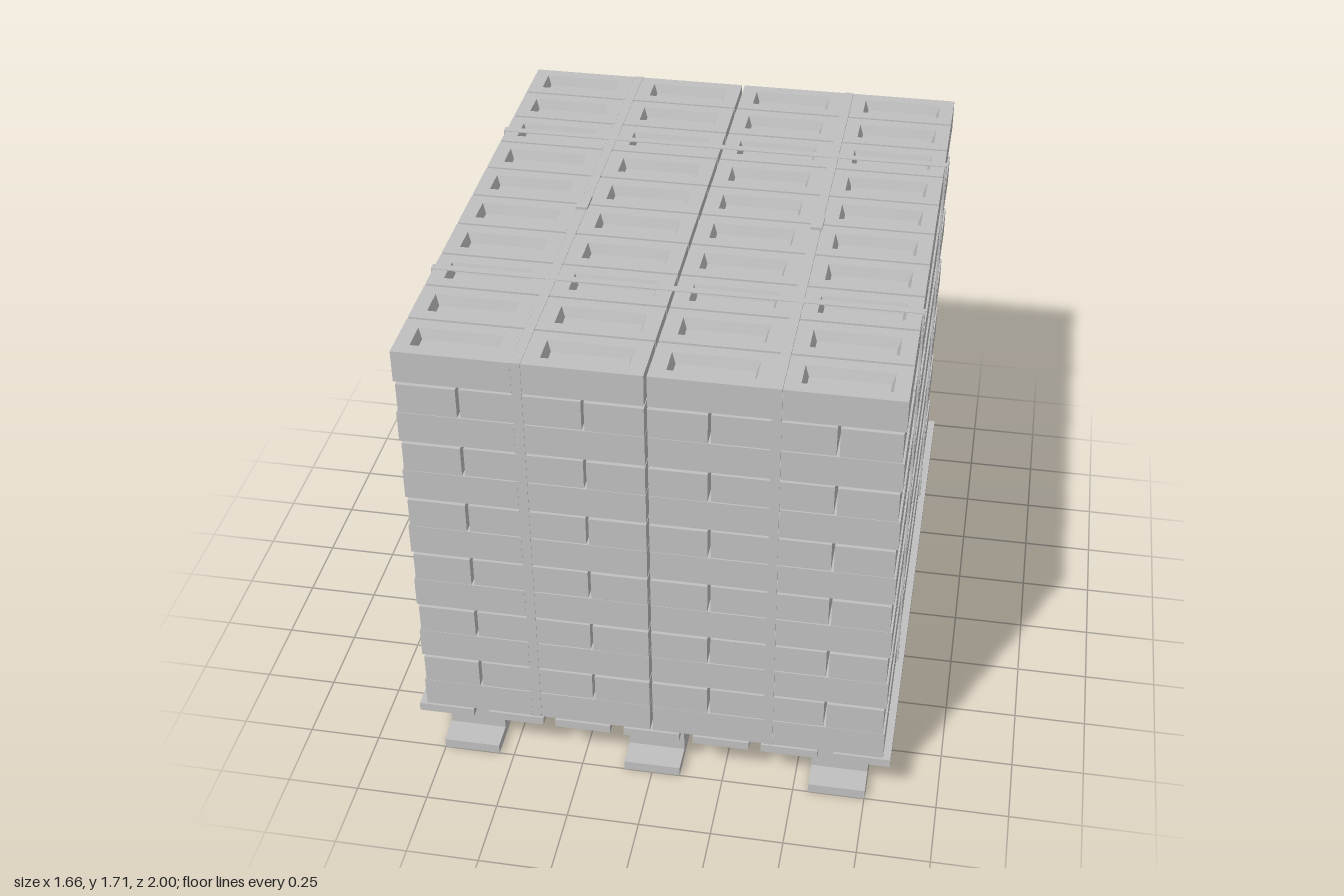
import * as THREE from 'three';
import { mergeGeometries } from 'three/addons/utils/BufferGeometryUtils.js';

const DECK = 0.2, PITCH = 0.115, COURSES = 13, TOP = 1.693;

// plain block given by its ranges on each axis
function block(x0, x1, y0, y1, z0, z1) {
  return new THREE.BoxGeometry(x1 - x0, y1 - y0, z1 - z0)
    .translate((x0 + x1) / 2, (y0 + y1) / 2, (z0 + z1) / 2);
}

// brick with a tapered pit in its top, stitched from rectangular loops
function pitBrick(x0, x1, y0, y1, z0, z1) {
  const w = x1 - x0, d = z1 - z0;
  const loops = [[w, d, y0], [w, d, y1], [0.28, 0.1, y1], [0.255, 0.076, y1 - 0.035]];
  const corner = ([lw, ld, y], k) => [
    (k % 4 === 1 || k % 4 === 2 ? 1 : -1) * lw / 2, y, (k % 4 < 2 ? 1 : -1) * ld / 2];
  const pos = [];
  const quad = (a, b, c, e) => pos.push(...a, ...b, ...c, ...a, ...c, ...e);
  for (let i = 0; i < 3; i++) {
    for (let k = 0; k < 4; k++) {
      quad(corner(loops[i], k), corner(loops[i], k + 1), corner(loops[i + 1], k + 1), corner(loops[i + 1], k));
    }
  }
  quad(...[0, 1, 2, 3].map(k => corner(loops[3], k)));
  quad(...[3, 2, 1, 0].map(k => corner(loops[0], k)));
  const g = new THREE.BufferGeometry();
  g.setAttribute('position', new THREE.Float32BufferAttribute(pos, 3));
  g.computeVertexNormals();
  return g.translate((x0 + x1) / 2, 0, (z0 + z1) / 2);
}

export function createModel() {
  const model = new THREE.Group();
  const grey = new THREE.MeshStandardMaterial({ color: 0xc0c0c0 });
  grey.name = 'grey';
  const add = (name, geometries, parent) => {
    const mesh = new THREE.Mesh(mergeGeometries(geometries), grey);
    mesh.name = name;
    parent.add(mesh);
  };

  // pallet
  const pallet = new THREE.Group();
  pallet.name = 'pallet';
  model.add(pallet);
  const deck = [-0.733, -0.482, -0.244, 0, 0.244, 0.482, 0.733];
  add('deckBoards', deck.map(x => block(x - 0.098, x + 0.098, 0.168, DECK, -1, 1)), pallet);
  add('crossBoards', [-0.78, 0, 0.78].map(z => block(-0.83, 0.83, 0.152, 0.168, z - 0.104, z + 0.104)), pallet);
  const runners = [], feet = [];
  for (const x of [-0.652, 0, 0.652]) {
    runners.push(block(x - 0.099, x + 0.099, 0, 0.036, -1, 1));
    for (const z of [-0.78, 0, 0.78]) feet.push(block(x - 0.099, x + 0.099, 0.036, 0.152, z - 0.125, z + 0.125));
  }
  add('runners', runners, pallet);
  add('feet', feet, pallet);

  // brick courses, alternating two bonding patterns
  const stack = new THREE.Group();
  stack.name = 'brickStack';
  model.add(stack);
  const g = 0.005;
  for (let c = 0; c < COURSES; c++) {
    const y0 = DECK + c * PITCH, bricks = [];
    const make = c === COURSES - 1 ? pitBrick : block;
    for (const side of [-1, 1]) {
      const put = (fn, a, b, h, z0, z1) =>
        bricks.push(fn(Math.min(side * a, side * b), Math.max(side * a, side * b), y0, y0 + h, z0, z1));
      for (let i = 0; i < 10; i++) {
        const z0 = -0.997 + i * 0.1994, z1 = z0 + 0.1994;
        if (c % 2 === 0) {
          // all bricks crosswise, with a channel for the strap
          const h = c === COURSES - 1 ? TOP - y0 : 0.111;
          put(make, g, 0.391, h, z0 + g, z1 - g);
          put(make, 0.424, 0.805, h, z0 + g, z1 - g);
        } else {
          put(block, 0.2 + g, 0.6 - g, 0.107, z0 + g, z1 - g);
        }
      }
      if (c % 2 === 1) {
        // lengthwise bricks on both sides of the crosswise ones
        for (let i = 0; i < 5; i++) {
          const z0 = -1 + i * 0.4;
          put(block, g, 0.2 - g, 0.107, z0 + g, z0 + 0.4 - g);
          put(block, 0.6 + g, 0.798, 0.107, z0 + g, z0 + 0.4 - g);
        }
      }
    }
    add('course' + (c + 1), bricks, stack);
  }

  // straps and buckles
  const straps = new THREE.Group();
  straps.name = 'straps';
  model.add(straps);
  for (const s of [-1, 1]) {
    const x = s * 0.407, z = s * 0.488;
    add('lengthwiseStrap', [
      block(x - 0.016, x + 0.016, TOP - 0.004, TOP + 0.002, -0.994, 0.994),
      block(x - 0.016, x + 0.016, DECK, TOP, 0.988, 0.994),
      block(x - 0.016, x + 0.016, DECK, TOP, -0.994, -0.988),
    ], straps);
    add('crosswiseStrap', [
      block(-0.812, 0.812, TOP - 0.001, TOP + 0.003, z - 0.014, z + 0.014),
      block(0.805, 0.812, DECK, TOP, z - 0.014, z + 0.014),
      block(-0.812, -0.805, DECK, TOP, z - 0.014, z + 0.014),
    ], straps);
    add('buckle', [block(x - 0.021, x + 0.021, TOP + 0.002, TOP + 0.012, -0.042, 0.042)], straps);
  }
  return model;
}
